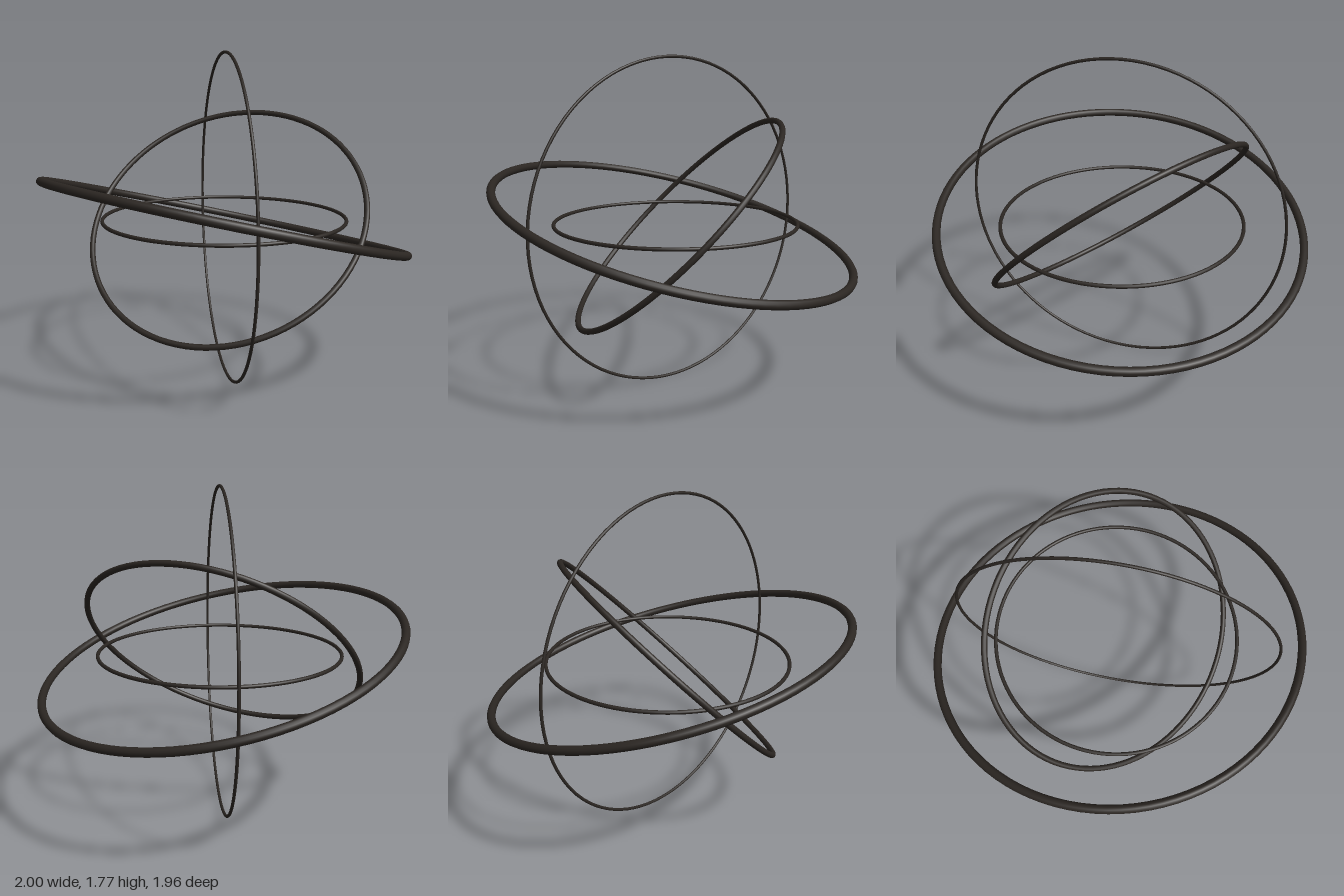
import * as THREE from 'three';

export function createModel() {
  const model = new THREE.Group();
  const material = new THREE.MeshStandardMaterial({ color: 0x2b2622 });
  const deg = THREE.MathUtils.degToRad;
  const centreY = 0.885;

  // A thin round hoop about the shared centre, its axis along the given normal
  function addRing(name, radius, tube, normal) {
    const ring = new THREE.Mesh(new THREE.TorusGeometry(radius, tube, 12, 96), material);
    ring.name = name;
    ring.position.y = centreY;
    ring.quaternion.setFromUnitVectors(new THREE.Vector3(0, 0, 1), normal.normalize());
    model.add(ring);
  }

  // Upright ring, turned 60 degrees about the vertical
  addRing('uprightRing', 0.877, 0.008, new THREE.Vector3(-Math.sin(deg(60)), 0, Math.cos(deg(60))));

  // Level ring, the smallest
  addRing('levelRing', 0.656, 0.01, new THREE.Vector3(0, 1, 0));

  // Ring leaning back 45 degrees
  addRing('leaningRing', 0.765, 0.0155, new THREE.Vector3(0, 1, 1));

  // Thick outer ring, tipped 15 degrees from level
  const tip = Math.sin(deg(15));
  addRing('outerRing', 0.986, 0.022,
    new THREE.Vector3(tip * Math.sin(deg(30)), Math.cos(deg(15)), -tip * Math.cos(deg(30))));

  return model;
}
